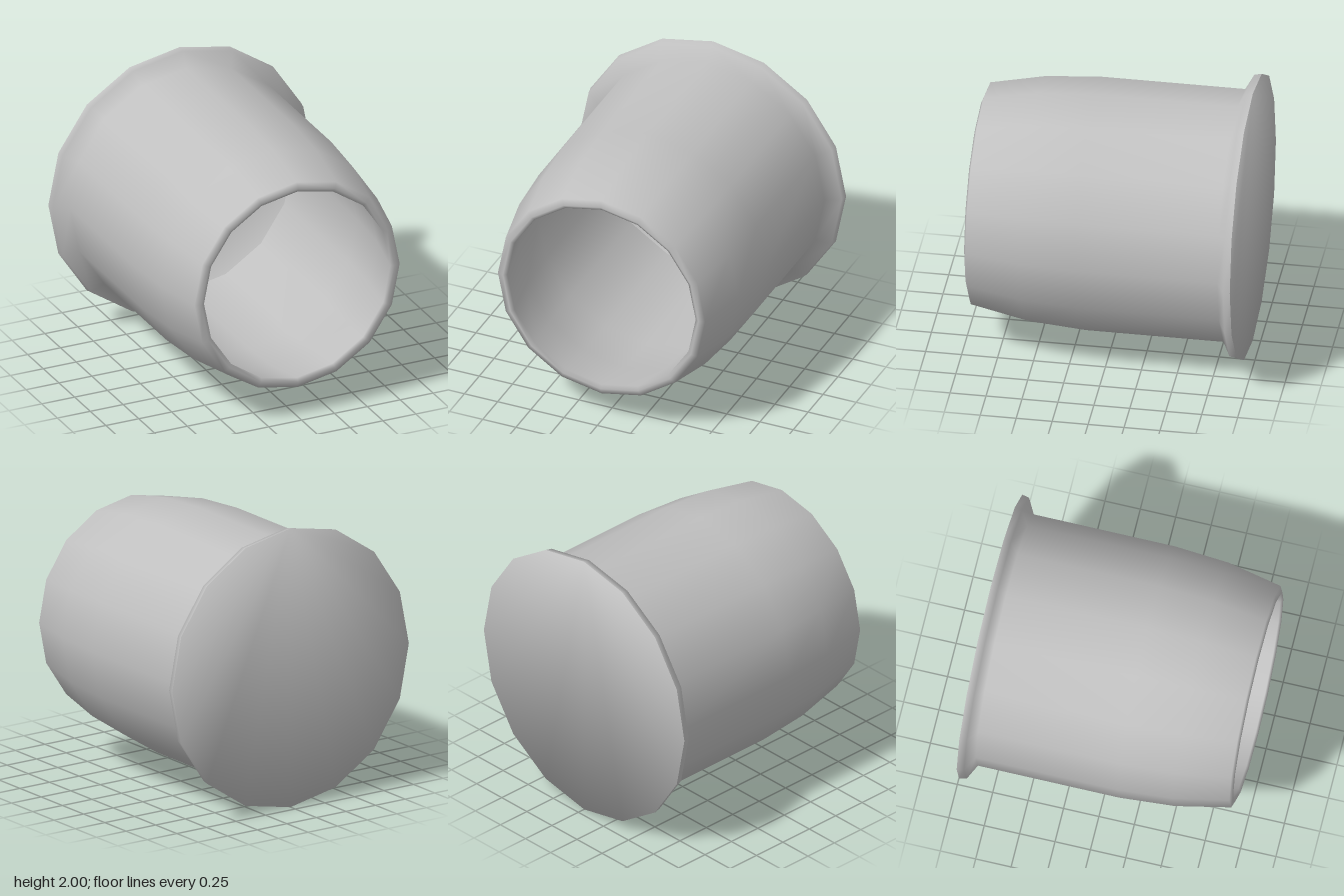
import * as THREE from 'three';

const SIDES = 16;

// Flat polygon end with softly shaded edges; facing is +1 (front) or -1 (back)
function endDisc(radius, z, facing, tilt) {
  const pos = [], nor = [], idx = [];
  for (let i = 0; i < SIDES; i++) {
    const a = Math.PI / 2 + (i / SIDES) * Math.PI * 2;
    const c = Math.cos(a), s = Math.sin(a);
    pos.push(radius * c, radius * s, z);
    const n = new THREE.Vector3(c * tilt, s * tilt, facing).normalize();
    nor.push(n.x, n.y, n.z);
    if (i > 1) idx.push(0, ...(facing > 0 ? [i - 1, i] : [i, i - 1]));
  }
  const g = new THREE.BufferGeometry();
  g.setAttribute('position', new THREE.Float32BufferAttribute(pos, 3));
  g.setAttribute('normal', new THREE.Float32BufferAttribute(nor, 3));
  g.setIndex(idx);
  return g;
}

// Surface of revolution about z, from [radius, z] pairs
function turned(profile) {
  const pts = profile.map(([r, z]) => new THREE.Vector2(r, z));
  return new THREE.LatheGeometry(pts, SIDES).rotateX(Math.PI / 2);
}

export function createModel() {
  const group = new THREE.Group();
  group.name = 'flangedCup';
  const grey = new THREE.MeshStandardMaterial({ color: 0xc0c0c0 });
  grey.name = 'plain grey';

  const add = (name, geometry) => {
    const mesh = new THREE.Mesh(geometry, grey);
    mesh.name = name;
    mesh.position.y = 1;
    group.add(mesh);
  };

  // Flange, outer wall, rounded mouth rim and hollow bore in one profile
  add('shell', turned([
    [1.0, -0.945], [0.99, -0.895], [0.885, -0.838],
    [0.885, 0.16], [0.857, 0.545], [0.78, 0.928],
    [0.735, 0.945], [0.708, 0.928],
    [0.79, 0.545], [0.822, 0.16], [0.822, -0.87],
  ]));

  // Closed back and the floor inside the bore
  add('backCap', endDisc(1.0, -0.945, -1, 0.9));
  add('boreFloor', endDisc(0.822, -0.87, 1, -0.9));

  return group;
}
